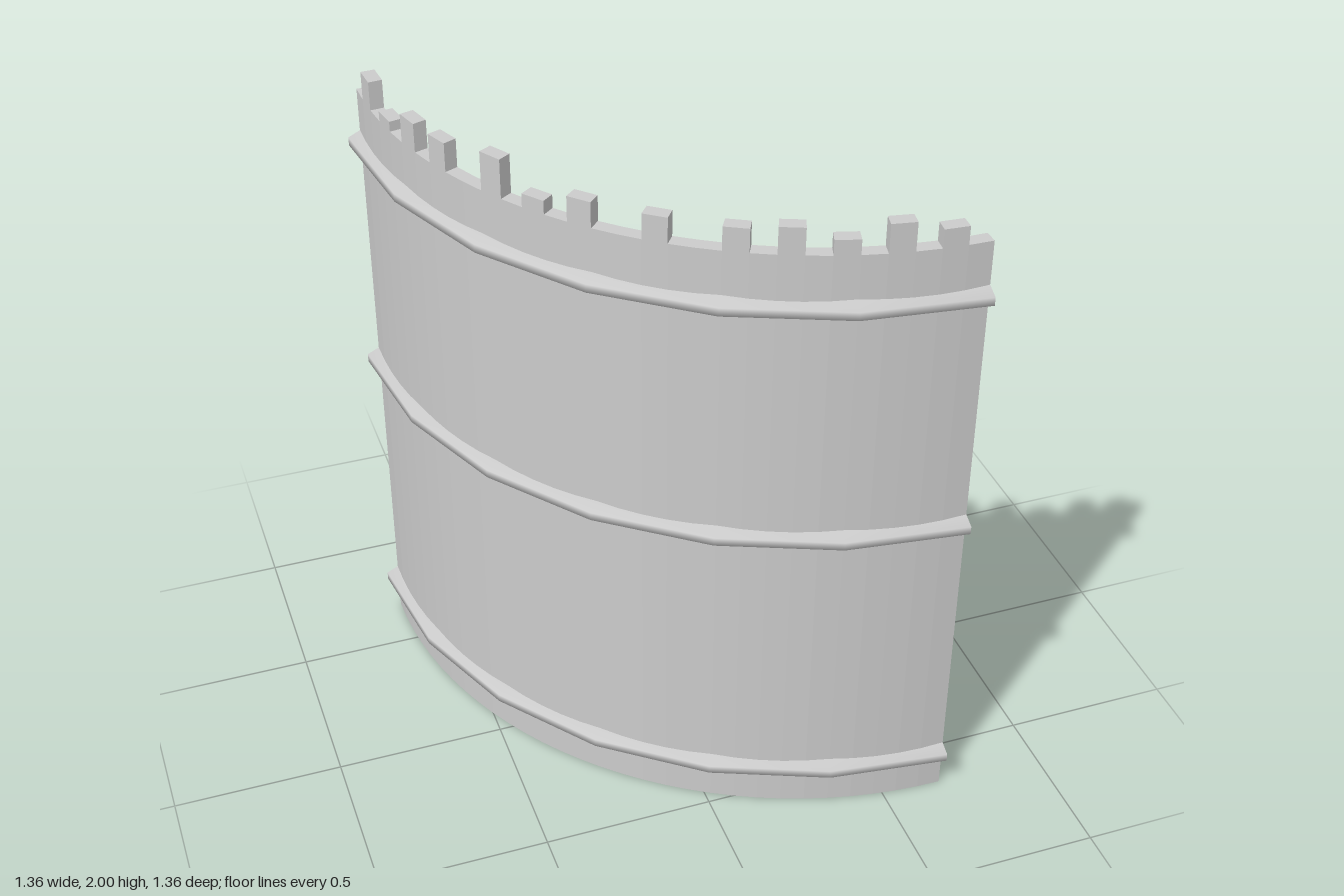
import * as THREE from 'three';

const DEG = Math.PI / 180;
const C = 0.68;              // arc centre is at x = C, z = -C
const INNER = 1.285, OUTER = 1.325;
const CELL = 3;              // degrees per wall facet

// Upright block following the arc between two facet numbers
function arcBlock(from, to, bottom, top) {
  const pts = [];
  const add = (r, i) => {
    const a = i * CELL * DEG;
    pts.push(new THREE.Vector2(C - r * Math.sin(a), C - r * Math.cos(a)));
  };
  for (let i = from; i <= to; i++) add(OUTER, i);
  for (let i = to; i >= from; i--) add(INNER, i);
  const geo = new THREE.ExtrudeGeometry(new THREE.Shape(pts), { depth: top - bottom, bevelEnabled: false });
  return geo.rotateX(-Math.PI / 2).translate(0, bottom, 0);
}

export function createModel() {
  const model = new THREE.Group();
  model.name = 'curvedWall';
  const wallMat = new THREE.MeshStandardMaterial({ color: 0xcccccc, flatShading: true });
  const bandMat = new THREE.MeshStandardMaterial({ color: 0xcccccc, side: THREE.DoubleSide });
  const add = (parent, name, geo, mat) => {
    const mesh = new THREE.Mesh(geo, mat);
    mesh.name = name;
    parent.add(mesh);
    return mesh;
  };

  // Quarter-circle wall
  const wallTop = 1.885;
  add(model, 'wall', arcBlock(0, 30, 0, wallTop), wallMat);

  // Uneven teeth along the top: [facet, top height]
  const teeth = new THREE.Group();
  teeth.name = 'teeth';
  model.add(teeth);
  const teethData = [
    [1, 1.94], [3, 1.97], [5, 1.93], [7, 1.965], [9, 1.955], [12, 1.96], [15, 1.96],
    [17, 1.925], [19, 2], [22, 1.97], [24, 1.97], [26, 1.915], [28, 1.97],
  ];
  for (const [i, top] of teethData) add(teeth, 'tooth', arcBlock(i, i + 1, wallTop, top), wallMat);

  // Flattened octagonal bands in six straight runs, closed at both ends
  const profile = [];
  for (let i = 0; i <= 8; i++) {
    const a = (i * 45 - 157.5) * DEG;
    profile.push(new THREE.Vector2(1.3 + 0.065 * Math.cos(a), 0.0325 * Math.sin(a)));
  }
  const ring = new THREE.LatheGeometry(profile, 6, -Math.PI / 2, Math.PI / 2);
  const cap = new THREE.ShapeGeometry(new THREE.Shape(profile.slice(0, 8)));
  for (const y of [0.13, 0.985, 1.725]) {
    const band = new THREE.Group();
    band.name = 'band';
    band.position.set(C, y, -C);
    add(band, 'bandRing', ring, bandMat);
    add(band, 'bandEndBack', cap, bandMat).rotation.y = Math.PI;
    add(band, 'bandEndSide', cap, bandMat).rotation.y = -Math.PI / 2;
    model.add(band);
  }
  return model;
}
